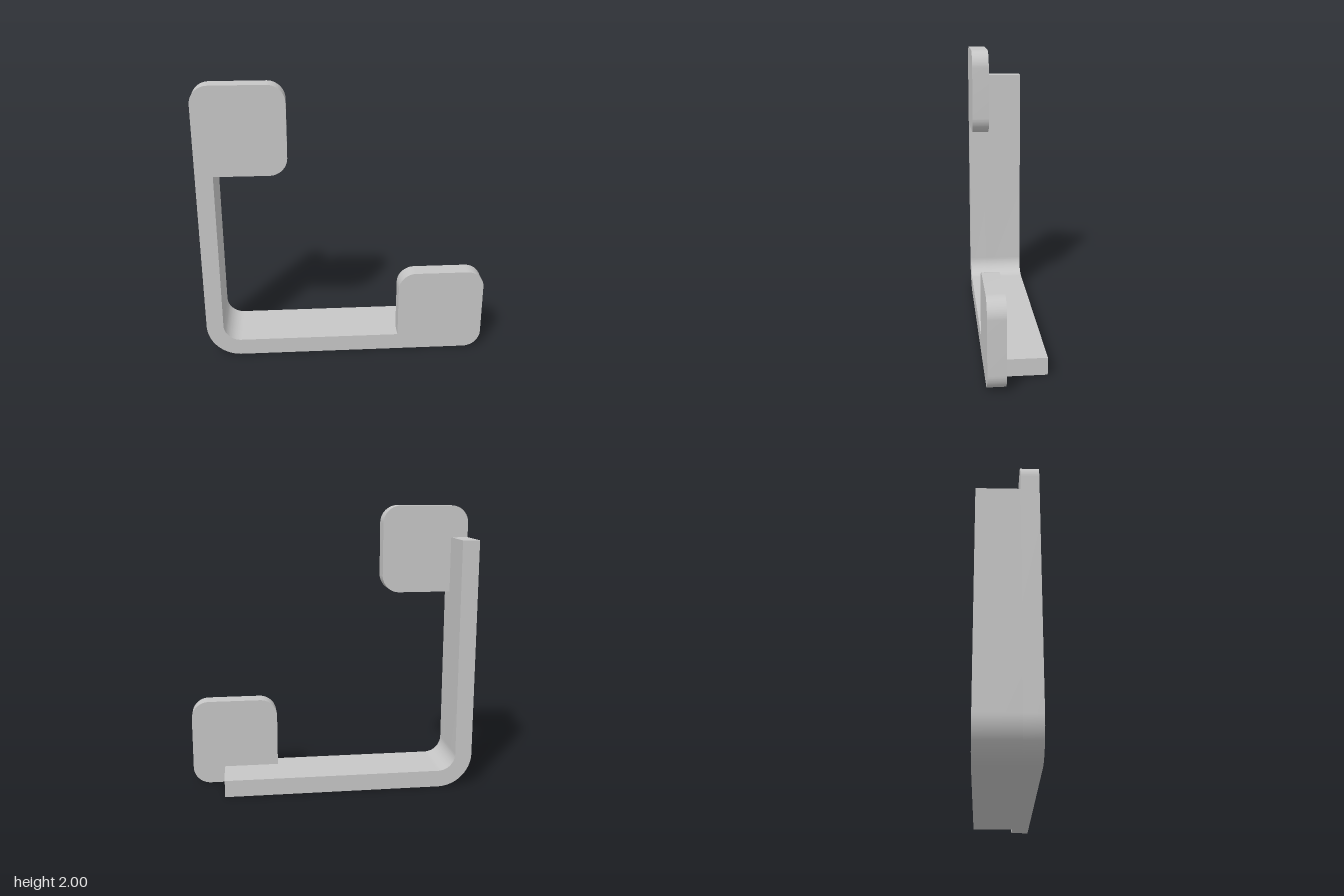
import * as THREE from 'three';
import { toCreasedNormals } from 'three/addons/utils/BufferGeometryUtils.js';

const T = 0.12;              // bar thickness
const PAD = 0.615;           // pad side
const R = 0.123;             // pad corner and inner bend radius
const BEND = R + T;          // outer bend radius
const BACK = -0.205, SEAM = 0.083, FRONT = 0.205;
const BAR_END = 1.775;       // length of each bar arm

export function createModel() {
  const group = new THREE.Group();
  const grey = new THREE.MeshStandardMaterial({ color: 0xc6c6c6 });
  grey.name = 'grey';

  // Extrude an outline, drawn from the outer corner (0, 0), between two depths
  function addPlate(name, shape, z0, z1) {
    const extruded = new THREE.ExtrudeGeometry(shape, {
      depth: z1 - z0, bevelEnabled: false, curveSegments: 16,
    });
    extruded.translate(-1, 0, z0);
    const mesh = new THREE.Mesh(toCreasedNormals(extruded, 0.5), grey);
    mesh.name = name;
    group.add(mesh);
  }

  // Rounded corner, counter-clockwise, starting at angle a
  const corner = (s, x, y, a) => s.absarc(x, y, R, a, a + Math.PI / 2, false);

  // Concave inner bend, from the foot arm to the upright arm
  function innerBend(s) {
    s.lineTo(BEND, T);
    s.absarc(BEND, BEND, R, -Math.PI / 2, -Math.PI, true);
  }

  // Outer bend, from the upright arm to the foot arm
  function outerBend(s) {
    s.lineTo(0, BEND);
    s.absarc(BEND, BEND, BEND, Math.PI, Math.PI * 1.5, false);
  }

  // Plain L-shaped bar behind the pads
  const bar = new THREE.Shape();
  bar.moveTo(BAR_END, 0);
  bar.lineTo(BAR_END, T);
  innerBend(bar);
  bar.lineTo(T, BAR_END);
  bar.lineTo(0, BAR_END);
  outerBend(bar);
  addPlate('angleBar', bar, BACK, SEAM);

  // Front layer of the bar with a rounded square pad at each end
  const face = new THREE.Shape();
  face.moveTo(BEND, 0);
  corner(face, 2 - R, R, -Math.PI / 2);
  corner(face, 2 - R, PAD - R, 0);
  corner(face, 2 - PAD + R, PAD - R, Math.PI / 2);
  face.lineTo(2 - PAD, T);
  innerBend(face);
  face.lineTo(T, 2 - PAD);
  corner(face, PAD - R, 2 - PAD + R, -Math.PI / 2);
  corner(face, PAD - R, 2 - R, 0);
  corner(face, R, 2 - R, Math.PI / 2);
  outerBend(face);
  addPlate('frontPads', face, SEAM, FRONT);

  return group;
}
